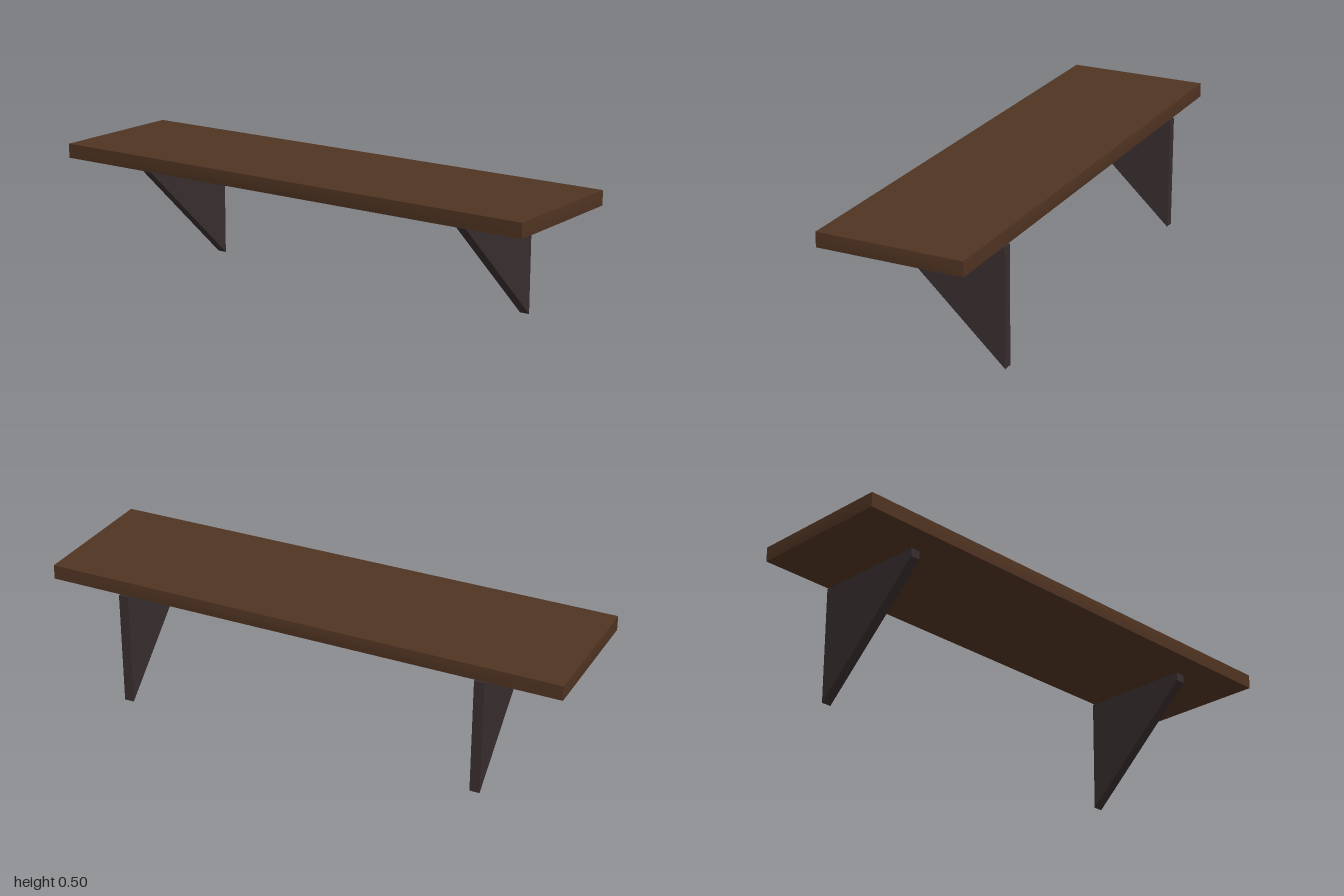
import * as THREE from 'three';

const wood = new THREE.MeshStandardMaterial({ color: 0x503422 });
wood.name = 'dark wood';
const iron = new THREE.MeshStandardMaterial({ color: 0x382d2f });
iron.name = 'dark iron';

// Plank whose six faces swell very slightly towards their middles
function plankGeometry(w, h, d, bulge) {
  const geo = new THREE.BoxGeometry(w, h, d, 12, 4, 8);
  const pos = geo.attributes.position;
  for (let i = 0; i < pos.count; i++) {
    const x = pos.getX(i) / (w / 2), y = pos.getY(i) / (h / 2), z = pos.getZ(i) / (d / 2);
    const fx = 1 - x * x, fy = 1 - y * y, fz = 1 - z * z;
    pos.setXYZ(i,
      x * (w / 2 + bulge * fy * fz),
      y * (h / 2 + bulge * fx * fz),
      z * (d / 2 + bulge * fx * fy));
  }
  geo.computeVertexNormals();
  return geo;
}

// Triangular side profile with a short blunt front, extruded sideways
function bracketGeometry(thickness) {
  const profile = new THREE.Shape([
    [-0.275, 0], [0.165, 0.41], [0.165, 0.442], [-0.275, 0.442],
  ].map(([z, y]) => new THREE.Vector2(-z, y)));
  const geo = new THREE.ExtrudeGeometry(profile, { depth: thickness, bevelEnabled: false });
  geo.translate(0, 0, -thickness / 2);
  geo.rotateY(Math.PI / 2); // profile -z becomes the model's z
  return geo;
}

export function createModel() {
  const shelf = new THREE.Group();
  shelf.name = 'wallShelf';

  const board = new THREE.Mesh(plankGeometry(1.996, 0.055, 0.546, 0.002), wood);
  board.name = 'board';
  board.position.y = 0.473;
  shelf.add(board);

  const geo = bracketGeometry(0.038);
  for (const [name, x] of [['leftBracket', 0.7], ['rightBracket', -0.7]]) {
    const bracket = new THREE.Mesh(geo, iron);
    bracket.name = name;
    bracket.position.x = x;
    shelf.add(bracket);
  }
  return shelf;
}
